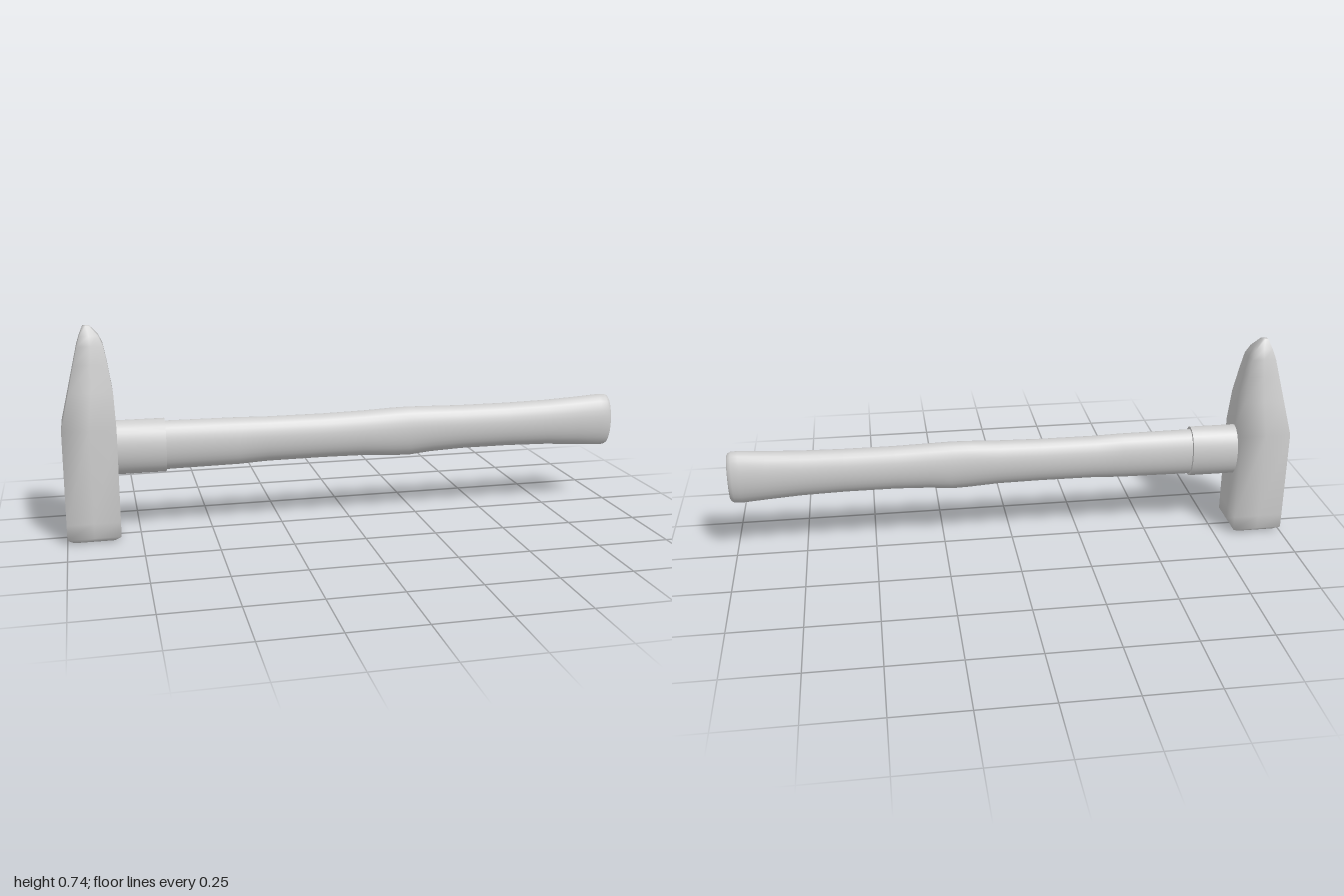
import * as THREE from 'three';

// Skin rings of points (counter-clockwise seen from the far end) and close both ends.
// With softCaps the end faces share normals with the sides.
function loft(name, rings, softCaps) {
  const n = rings[0].length, last = rings.length - 1;
  const pts = rings.flat(), index = [];
  for (let i = 0; i < last; i++) {
    for (let j = 0; j < n; j++) {
      const k = (j + 1) % n;
      const a = i * n + j, b = i * n + k, c = b + n, d = a + n;
      index.push(a, b, c, a, c, d);
    }
  }
  for (const r of [0, last]) {
    const start = softCaps ? r * n : pts.length;
    if (!softCaps) pts.push(...rings[r]);
    const centre = pts.length;
    pts.push(rings[r].reduce((s, p) => s.add(p), new THREE.Vector3()).divideScalar(n));
    for (let j = 0; j < n; j++) {
      const a = start + j, b = start + (j + 1) % n;
      index.push(centre, ...(r === 0 ? [b, a] : [a, b]));
    }
  }
  const geometry = new THREE.BufferGeometry().setFromPoints(pts);
  geometry.setIndex(index);
  geometry.computeVertexNormals();
  const mesh = new THREE.Mesh(geometry, new THREE.MeshStandardMaterial({ color: 0xcccccc }));
  mesh.name = name;
  return mesh;
}

// Rectangular section across the head, with a point at the middle of each side
function headRing([y, x0, x1, hz]) {
  const cx = (x0 + x1) / 2, hx = (x1 - x0) / 2;
  const square = [[1, 0], [1, -1], [0, -1], [-1, -1], [-1, 0], [-1, 1], [0, 1], [1, 1]];
  return square.map(([u, v]) => new THREE.Vector3(cx + u * hx, y, v * hz));
}

// Oval section across the handle
function ovalRing([x, y0, y1, hz]) {
  const cy = (y0 + y1) / 2, hy = (y1 - y0) / 2;
  return Array.from({ length: 28 }, (_, j) => {
    const t = (j / 28) * Math.PI * 2;
    return new THREE.Vector3(x, cy + Math.cos(t) * hy, Math.sin(t) * hz);
  });
}

export function createModel() {
  const group = new THREE.Group();
  group.name = 'hammer';

  // Head: bevelled striking face at the bottom, tapering to a peen at the top
  // [y, left x, right x, half depth]
  const head = [
    [0, -0.978, -0.842, 0.068],
    [0.018, -1, -0.82, 0.09],
    [0.07, -1, -0.82, 0.09],
    [0.395, -1, -0.82, 0.09],
    [0.515, -0.972, -0.825, 0.07],
    [0.61, -0.95, -0.839, 0.053],
    [0.67, -0.936, -0.85, 0.043],
    [0.702, -0.926, -0.864, 0.03],
    [0.735, -0.913, -0.892, 0.01],
  ];
  group.add(loft('head', head.map(headRing), true));

  // Collar between head and handle
  const collar = [[-0.84, 0.216, 0.405, 0.062], [-0.655, 0.216, 0.405, 0.062]];
  group.add(loft('collar', collar.map(ovalRing), false));

  // Handle with a gentle swell in the middle and a flared grip end
  // [x, bottom y, top y, half depth]
  const handle = [
    [-0.7, 0.223, 0.396, 0.05],
    [-0.4, 0.226, 0.394, 0.05],
    [-0.3, 0.231, 0.391, 0.05],
    [-0.1, 0.232, 0.391, 0.05],
    [0.05, 0.23, 0.394, 0.05],
    [0.16, 0.223, 0.399, 0.05],
    [0.22, 0.221, 0.4, 0.05],
    [0.3, 0.229, 0.398, 0.05],
    [0.42, 0.234, 0.395, 0.05],
    [0.6, 0.234, 0.395, 0.05],
    [0.75, 0.23, 0.398, 0.05],
    [0.87, 0.222, 0.404, 0.05],
    [0.96, 0.215, 0.41, 0.05],
    [0.985, 0.216, 0.409, 0.049],
    [0.996, 0.222, 0.403, 0.045],
    [1, 0.23, 0.395, 0.04],
  ];
  group.add(loft('handle', handle.map(ovalRing), false));

  return group;
}
